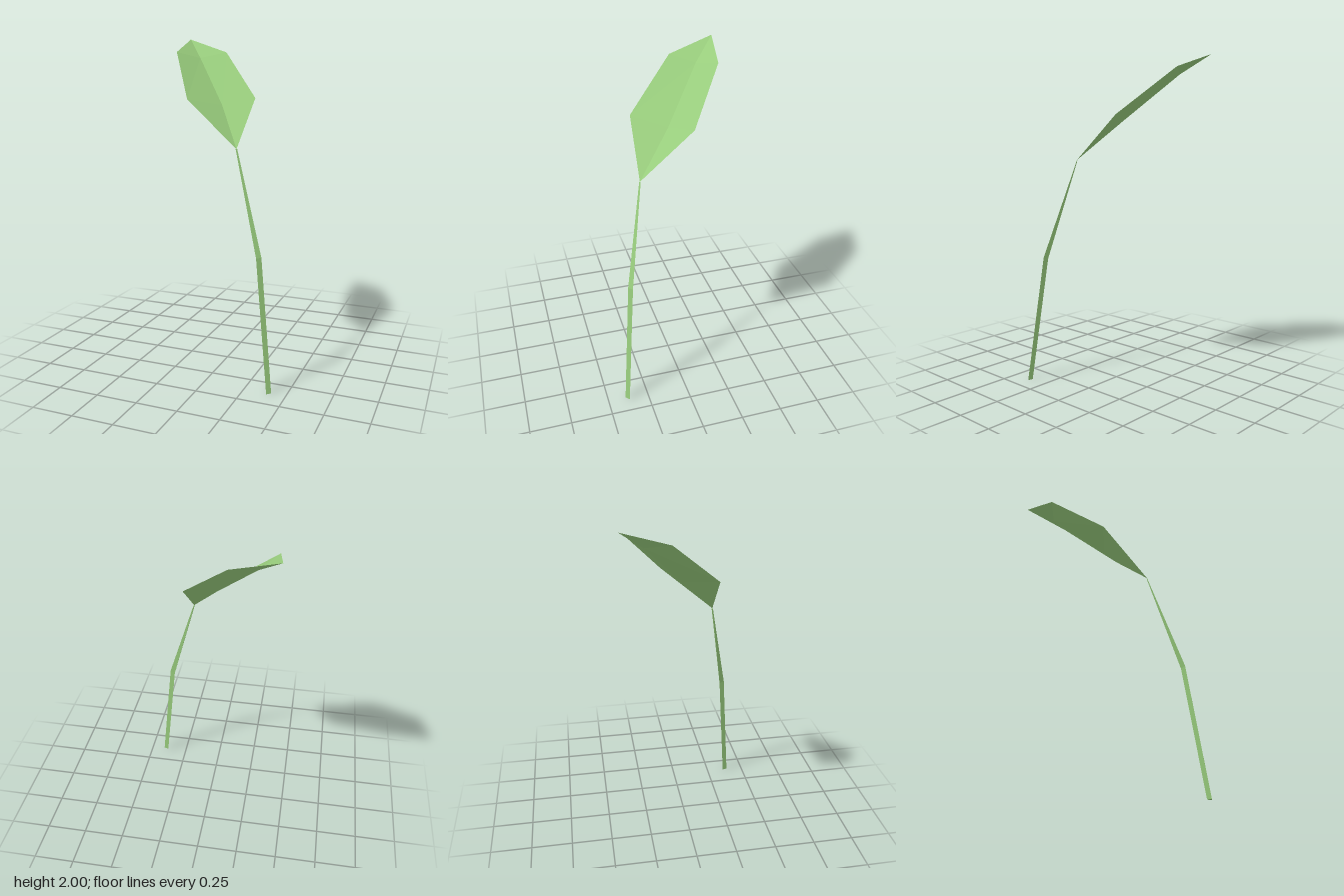
import * as THREE from 'three';

// Flat-shaded mesh from a list of triangles (each three points)
function facetMesh(name, triangles, material) {
  const geometry = new THREE.BufferGeometry();
  geometry.setAttribute('position', new THREE.Float32BufferAttribute(triangles.flat(2), 3));
  geometry.computeVertexNormals();
  const mesh = new THREE.Mesh(geometry, material);
  mesh.name = name;
  return mesh;
}

export function createModel() {
  const group = new THREE.Group();
  group.name = 'leafOnStem';
  const leafGreen = new THREE.MeshStandardMaterial({ color: 0x98cc7c, side: THREE.DoubleSide });
  leafGreen.name = 'leafGreen';

  // Stem: three-sided, bending and tapering towards the leaf
  const rings = [
    [[0.39, 0, 0.392], [0.413, 0, 0.37], [0.383, 0, 0.362]],
    [[0.301, 0.775, 0.33], [0.325, 0.775, 0.307], [0.295, 0.764, 0.3]],
    [[0.131, 1.367, 0.207], [0.138, 1.367, 0.2], [0.134, 1.364, 0.2]],
  ];
  const stem = [[rings[0][0], rings[0][2], rings[0][1]], rings[2]];
  for (let r = 0; r < 2; r++) {
    const low = rings[r], high = rings[r + 1];
    for (let i = 0; i < 3; i++) {
      const j = (i + 1) % 3;
      stem.push([low[i], low[j], high[j]], [low[i], high[j], high[i]]);
    }
  }
  group.add(facetMesh('stem', stem, leafGreen));

  // Leaf blade: two halves folded along a sunken midrib
  const base = [0.135, 1.367, 0.204], tip = [-0.414, 2, -0.394];
  const midrib = [base, [-0.04, 1.6, -0.014], [-0.286, 1.88, -0.255], tip];
  const leftEdge = [base, [0.135, 1.64, -0.115], [-0.142, 1.915, -0.343], tip];
  const rightEdge = [base, [-0.182, 1.64, 0.177], [-0.386, 1.915, -0.12], tip];
  const half = (a, b) => [
    [base, a[1], b[1]],
    [b[1], a[1], a[2]], [b[1], a[2], b[2]],
    [b[2], a[2], tip],
  ];
  group.add(facetMesh('leafLeftHalf', half(leftEdge, midrib), leafGreen));
  group.add(facetMesh('leafRightHalf', half(midrib, rightEdge), leafGreen));
  return group;
}
